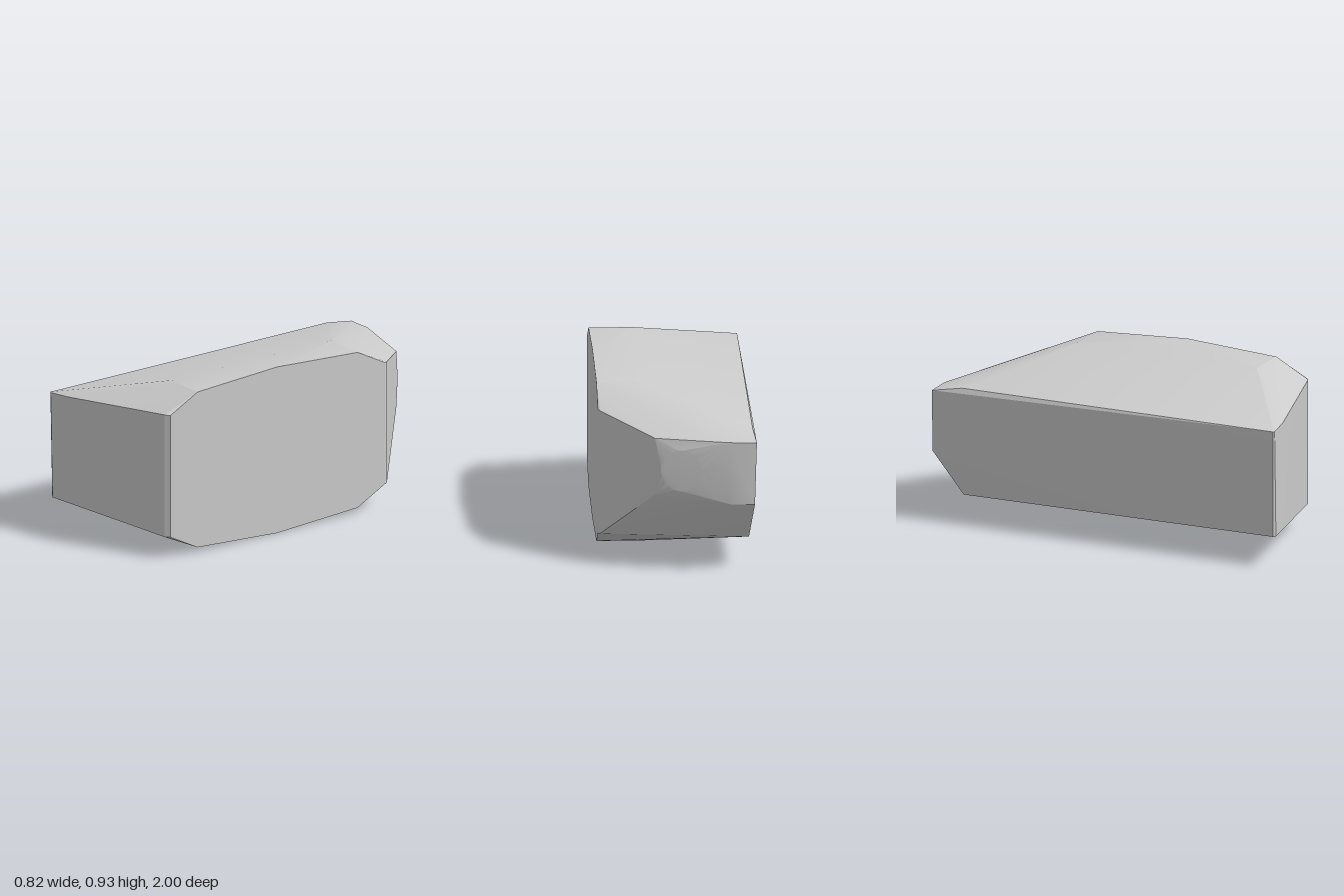
import * as THREE from 'three';
import { ConvexGeometry } from 'three/addons/geometries/ConvexGeometry.js';
import { toCreasedNormals } from 'three/addons/utils/BufferGeometryUtils.js';

export function createModel() {
  const group = new THREE.Group();
  group.name = 'facetedBlock';
  const points = [];
  const add = (x, y, z) => points.push(new THREE.Vector3(x, y, z));

  // Broad flat side and the roof and floor ridges, mirrored about mid height
  const mid = 0.47;
  for (const s of [1, -1]) {
    add(0.41, mid + s * 0.465, 0.1);
    for (const z of [0.62, -0.43]) {
      add(0.41, mid + s * 0.435, z);
      add(0.18, mid + s * 0.435, z);
    }
    // Small bevels on the upright edges
    add(0.41, mid + s * 0.34, 0.8);
    add(0.385, mid + s * 0.342, 0.82);
    add(0.41, mid + s * 0.34, -0.61);
    add(0.4, mid + s * 0.338, -0.63);
  }

  // Front end
  add(-0.39, 0.757, 0.995);
  add(-0.38, 0.757, 1);
  add(-0.25, 0.766, 0.983);
  add(-0.38, 0.175, 0.99);
  add(-0.365, 0.175, 1);

  // Narrow side, back end
  add(-0.4, 0.757, -0.83);
  add(-0.415, 0.727, -1);
  add(-0.405, 0.39, -1);
  add(-0.38, 0.165, -0.83);
  add(-0.27, 0.73, -1);
  add(-0.28, 0.39, -1);
  add(0.12, 0.73, -0.9);
  add(0.12, 0.42, -0.9);

  // Round flat on the back end
  const steps = 32;
  for (let i = 0; i < steps; i++) {
    const a = (i / steps) * Math.PI * 2;
    const u = Math.cos(a) * 0.113;
    add(-0.02 + u * 0.97, 0.565 + Math.sin(a) * 0.113, -0.958 + u * 0.243);
  }

  const geometry = toCreasedNormals(new ConvexGeometry(points), 0.3);
  const body = new THREE.Mesh(geometry, new THREE.MeshStandardMaterial({ color: 0xcccccc }));
  body.name = 'body';
  group.add(body);
  return group;
}
